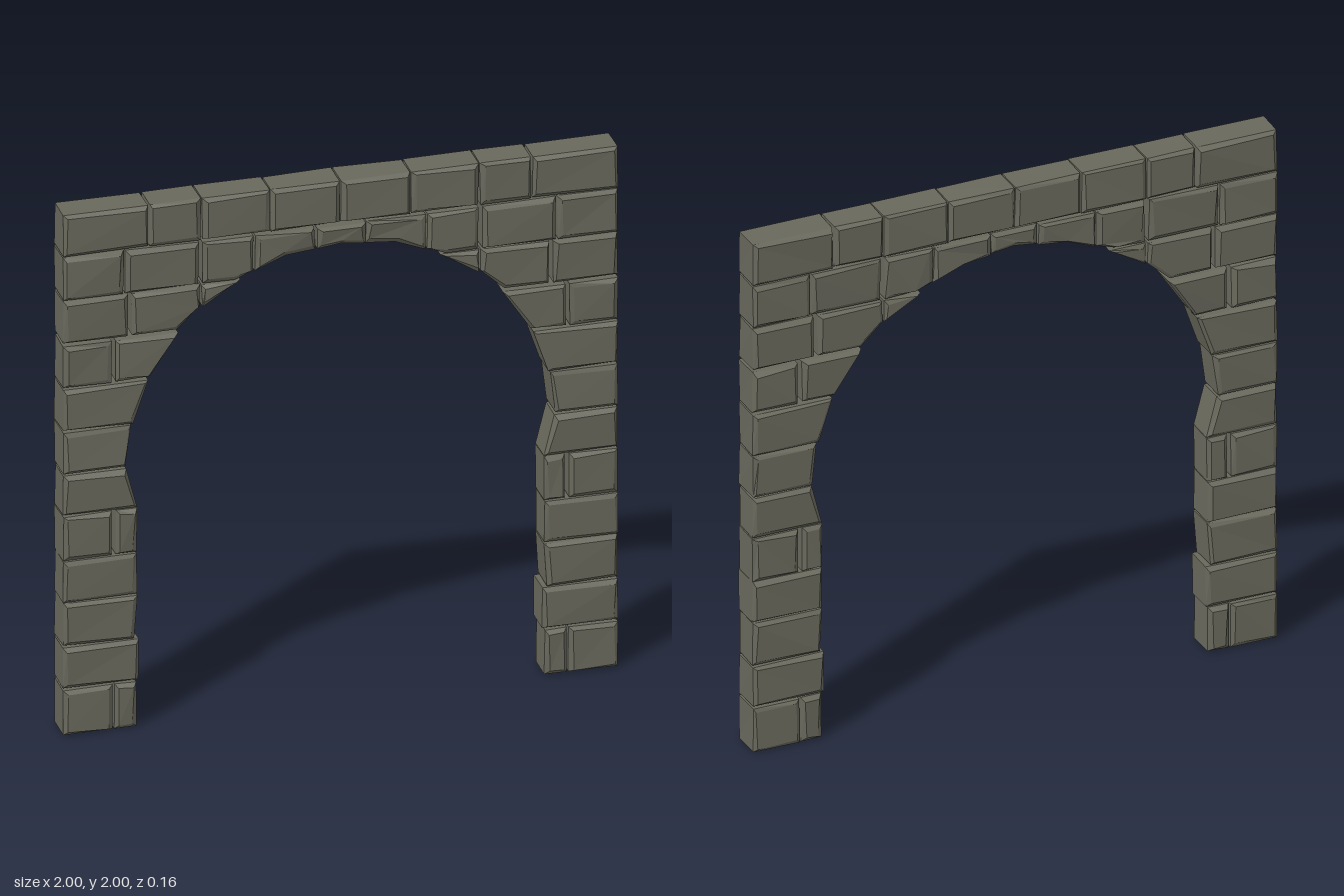
import * as THREE from 'three';

const BEVEL = 0.013, BACK = -0.074, FRONT = 0.062, EDGE = 0.997;
const material = new THREE.MeshStandardMaterial({ color: 0x68685c, flatShading: true });

// Repeatable offset in -1..1 from a position, so shared corners stay joined
function wobble(x, y, z, k) {
  const s = Math.sin(Math.round(x * 1000) * 12.9898 + Math.round(y * 1000) * 78.233 + Math.round(z * 1000) * 37.719 + k * 11.13) * 43758.5453;
  return (s - Math.floor(s)) * 2 - 1;
}

// Chamfered stone block with slightly uneven corners
function stone(points, name, back = BACK, front = FRONT) {
  const shape = new THREE.Shape(points.map(([x, y]) => new THREE.Vector2(x, y)));
  const geometry = new THREE.ExtrudeGeometry(shape, {
    depth: front - back - 2 * BEVEL, steps: 1,
    bevelEnabled: true, bevelSegments: 1, bevelSize: BEVEL, bevelThickness: BEVEL, bevelOffset: -BEVEL,
  });
  geometry.translate(0, 0, back + BEVEL);
  const p = geometry.attributes.position;
  for (let i = 0; i < p.count; i++) {
    const x = p.getX(i), y = p.getY(i), z = p.getZ(i), ax = Math.abs(x);
    const face = z > front - 0.002 || z < back + 0.002;
    const nx = x + Math.sign(x) * wobble(ax, y, z, 1) * (face ? 0.005 : 0.002);
    const ny = y + wobble(ax, y, z, 2) * (face ? 0.005 : 0.002);
    const nz = z + wobble(ax, y, z, 3) * 0.005;
    p.setXYZ(i, THREE.MathUtils.clamp(nx, -1, 1), THREE.MathUtils.clamp(ny, 0, 2), nz);
  }
  geometry.computeVertexNormals();
  const mesh = new THREE.Mesh(geometry, material);
  mesh.name = name;
  return mesh;
}

const block = (x0, x1, y0, y1) => [[x0, y0], [x1, y0], [x1, y1], [x0, y1]];

// Stones of the left half; the right half mirrors them
const courses = {
  pillarStone: [
    block(0.82, EDGE, 0, 0.172), block(0.735, 0.813, 0, 0.172),
    block(0.725, EDGE, 0.18, 0.335),
    [[0.742, 0.342], [EDGE, 0.342], [EDGE, 0.505], [0.733, 0.505]],
    block(0.733, EDGE, 0.511, 0.667),
    block(0.822, EDGE, 0.672, 0.84), block(0.733, 0.808, 0.672, 0.84),
    [[0.733, 0.845], [EDGE, 0.845], [EDGE, 0.995], [0.77, 0.995]],
  ],
  archStone: [
    [[0.772, 1.006], [EDGE, 1.006], [EDGE, 1.162], [0.753, 1.162]],
    [[0.747, 1.17], [EDGE, 1.17], [EDGE, 1.328], [0.692, 1.328]],
    [[0.686, 1.338], [0.808, 1.338], [0.808, 1.495], [0.582, 1.495]],
    [[0.588, 1.507], [0.75, 1.507], [0.75, 1.667], [0.505, 1.667], [0.505, 1.585]],
    [[0.498, 1.585], [0.498, 1.667], [0.36, 1.667]],
    [[0.38, 1.673], [0.495, 1.673], [0.495, 1.833], [0.312, 1.833], [0.312, 1.697]],
    [[0.307, 1.695], [0.307, 1.833], [0.092, 1.833], [0.092, 1.752], [0.2, 1.74]],
  ],
  wallStone: [
    block(0.825, EDGE, 1.338, 1.495),
    block(0.765, EDGE, 1.507, 1.667),
    block(0.782, EDGE, 1.673, 1.835), block(0.512, 0.774, 1.673, 1.835),
  ],
  topStone: [
    block(0.692, EDGE, 1.842, 2), block(0.503, 0.686, 1.842, 2),
    block(0.255, 0.497, 1.842, 2), block(0.002, 0.25, 1.842, 2),
  ],
};

export function createModel() {
  const model = new THREE.Group();
  model.name = 'stoneArchway';
  for (const side of [1, -1]) {
    const half = new THREE.Group();
    half.name = side > 0 ? 'leftHalf' : 'rightHalf';
    for (const [name, list] of Object.entries(courses))
      for (const points of list) half.add(stone(points.map(([x, y]) => [x * side, y]), name));
    model.add(half);
  }
  // Keystone stands slightly proud of the front
  model.add(stone([[-0.086, 1.755], [0, 1.766], [0.086, 1.755], [0.086, 1.835], [-0.086, 1.835]], 'keystone', -0.066, 0.073));
  return model;
}
